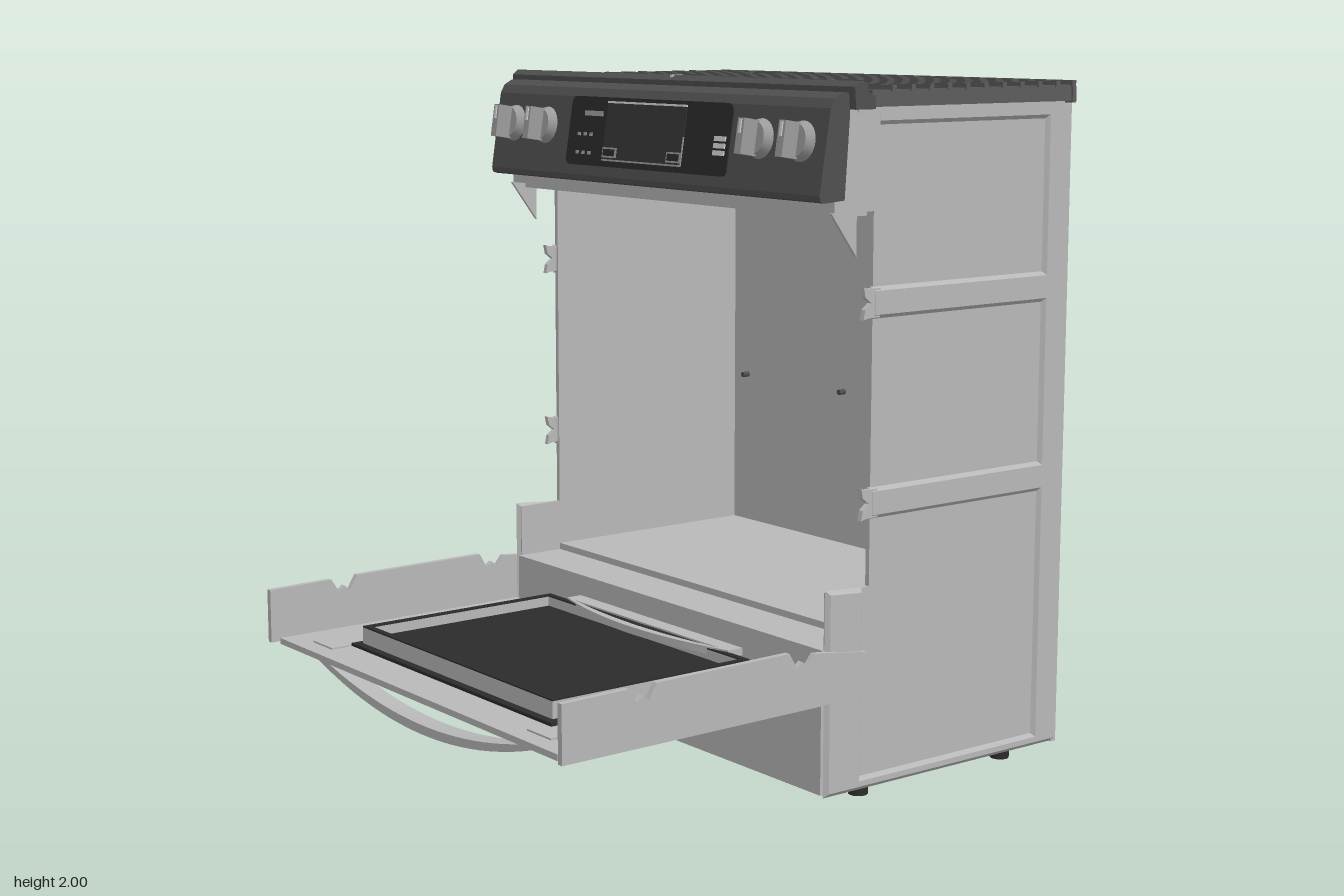
import * as THREE from 'three';

const mat = (name, color) => Object.assign(new THREE.MeshStandardMaterial({ color }), { name });

export function createModel() {
  const root = new THREE.Group();
  root.name = 'range';
  const steel = mat('steel', 0xb8b8b8);
  const charcoal = mat('charcoal', 0x505050);
  const iron = mat('castIron', 0x5c5c5c);
  const black = mat('blackGlass', 0x2b2b2b);
  const knobGrey = mat('knobGrey', 0x9c9c9c);
  const screenGrey = mat('screenGrey', 0x363636);
  const white = mat('lightMarks', 0xd4d4d4);

  const add = (name, geo, m, parent = root) => {
    const mesh = new THREE.Mesh(geo, m);
    mesh.name = name;
    parent.add(mesh);
    return mesh;
  };
  // Box from its lower and upper limits on each axis
  const box = (name, m, x0, x1, y0, y1, z0, z1, parent) => {
    const g = new THREE.BoxGeometry(x1 - x0, y1 - y0, z1 - z0);
    g.translate((x0 + x1) / 2, (y0 + y1) / 2, (z0 + z1) / 2);
    return add(name, g, m, parent);
  };
  // Outline in (z, y), extruded across x, with an optional sloping edge
  const sideExtrude = (name, m, pts, x0, x1, slope = 0, rise = 0) => {
    const shape = new THREE.Shape(pts.map(p => new THREE.Vector2(p[0], p[1])));
    const g = new THREE.ExtrudeGeometry(shape, {
      depth: x1 - x0 - 2 * rise, bevelEnabled: slope > 0, bevelSize: slope,
      bevelThickness: rise, bevelOffset: -slope, bevelSegments: 1
    });
    g.rotateY(-Math.PI / 2);
    g.translate(x1 - rise, 0, 0);
    return add(name, g, m);
  };

  // Cabinet shell, open at the front, with a recessed underside
  box('backPanel', steel, -0.765, 0.765, 0.03, 1.93, -0.85, -0.83);
  box('bottomPanel', steel, -0.745, 0.745, 0.1, 0.112, -0.83, 0.04);
  box('ovenFloor', steel, -0.745, 0.745, 0.455, 0.47, -0.83, -0.1);
  box('ovenSill', steel, -0.745, 0.745, 0.43, 0.45, -0.1, 0.04);
  box('sillRiser', steel, -0.745, 0.745, 0.40, 0.455, -0.12, -0.1);
  box('cooktopDeck', steel, -0.77, 0.77, 1.915, 1.93, -0.83, -0.03);
  box('upperFrontRail', steel, -0.745, 0.745, 1.65, 1.915, -0.1, 0.05);
  box('upperLip', steel, -0.73, 0.73, 1.635, 1.65, -0.1, 0.03);
  box('drawerFront', steel, -0.745, 0.745, 0.035, 0.45, 0.04, 0.06);

  // Pressed side panels: flat sheet, raised border with two ribs, forked rib ends
  const ribs = [[0.8, 0.89], [1.355, 1.445]];
  const border = [[-0.85, 0.03], [0.06, 0.03], [0.06, 0.62], [-0.075, 0.61], [-0.075, 0.07], [-0.75, 0.07],
    ...ribs.flatMap(([lo, hi]) => [[-0.75, lo], [-0.09, lo], [-0.09, hi], [-0.75, hi]]),
    [-0.75, 1.88], [-0.1, 1.88], [-0.1, 1.93], [-0.85, 1.93]];
  for (const s of [-1, 1]) {
    const span = (a, b) => s > 0 ? [a, b] : [-b, -a];
    box('sideSheet', steel, ...span(0.742, 0.757), 0.035, 1.925, -0.84, -0.1);
    box('lowerSideSheet', steel, ...span(0.742, 0.757), 0.035, 0.61, -0.1, 0.05);
    sideExtrude('sideBorder', steel, border, ...span(0.744, 0.768), 0.012, 0.012);
    for (const [lo, hi] of ribs) {
      sideExtrude('ribEnd', steel, [[-0.12, lo + 0.005], [-0.08, lo + 0.005], [-0.06, lo], [-0.066, lo + 0.028],
        [-0.088, (lo + hi) / 2], [-0.066, hi - 0.028], [-0.06, hi], [-0.08, hi - 0.005], [-0.12, hi - 0.005]],
      ...span(0.75, 0.766));
    }
    box('upperCheek', steel, ...span(0.745, 0.767), 1.65, 1.93, -0.11, 0.05);
    sideExtrude('cornerBracket', steel, [[0.06, 1.65], [-0.03, 1.65], [-0.03, 1.53]], ...span(0.757, 0.767));
    for (const z of [-0.11, -0.67]) {
      const foot = add('foot', new THREE.CylinderGeometry(0.028, 0.028, 0.025, 16), black);
      foot.position.set(s * 0.712, 0.0125, z);
      const stem = add('footStem', new THREE.CylinderGeometry(0.014, 0.014, 0.08, 12), black);
      stem.position.set(s * 0.712, 0.063, z);
    }
  }

  // Back: screws, gas inlet plate and nozzle
  for (const [x, y] of [[0.7, 1.8], [0.7, 0.97], [0.7, 0.14], [-0.67, 1.63], [-0.67, 0.97], [-0.67, 0.14],
    [-0.18, 1.8], [-0.18, 0.97], [-0.18, 0.14]]) {
    const screw = add('screw', new THREE.CylinderGeometry(0.009, 0.009, 0.048, 8), charcoal);
    screw.rotation.x = Math.PI / 2;
    screw.position.set(x, y, -0.829);
  }
  box('inletPlate', steel, -0.74, -0.28, 1.76, 1.88, -0.855, -0.85);
  for (const x of [-0.62, -0.38]) box('inletSlot', charcoal, x - 0.012, x + 0.012, 1.81, 1.83, -0.858, -0.854);
  const nozzle = add('gasInlet', new THREE.LatheGeometry([[0, 0], [0.02, 0], [0.02, 0.045], [0.03, 0.05],
    [0.024, 0.1], [0.012, 0.1], [0, 0.09]].map(p => new THREE.Vector2(...p)), 16), knobGrey);
  nozzle.rotation.x = -Math.PI / 2;
  nozzle.position.set(-0.5, 1.815, -0.85);

  // Front trim rail and sloping control panel
  sideExtrude('trimRail', charcoal, [[-0.055, 1.925], [0.015, 1.925], [0.02, 1.985], [0.0, 2],
    [-0.025, 1.995], [-0.03, 1.965], [-0.055, 1.96]], -0.81, 0.81);
  box('trimSplit', white, -0.005, 0.005, 1.985, 2, -0.03, 0.01);
  sideExtrude('controlPanel', charcoal, [[0.03, 1.685], [0.1, 1.68], [0.115, 1.685], [0.118, 1.70], [0.082, 1.93],
    [0.068, 1.955], [0.04, 1.97], [0.015, 1.97], [0.015, 1.9]], -0.785, 0.785);
  const face = new THREE.Group();
  face.name = 'controls';
  face.position.set(0, 1.83, 0.0977);
  face.rotation.x = -0.155;
  root.add(face);
  const w = 0.385, h = 0.102, r = 0.025;
  const plate = new THREE.Shape();
  plate.moveTo(-w + r, -h).lineTo(w - r, -h).quadraticCurveTo(w, -h, w, -h + r)
    .lineTo(w, h - r).quadraticCurveTo(w, h, w - r, h).lineTo(-w + r, h)
    .quadraticCurveTo(-w, h, -w, h - r).lineTo(-w, -h + r).quadraticCurveTo(-w, -h, -w + r, -h);
  add('displayGlass', new THREE.ExtrudeGeometry(plate, { depth: 0.004, bevelEnabled: false }), black, face);
  box('screen', screenGrey, -0.2, 0.18, -0.08, 0.085, 0, 0.006, face);
  box('screenTopEdge', white, -0.2, 0.18, 0.085, 0.091, 0, 0.007, face);
  box('screenBottomEdge', knobGrey, -0.2, 0.18, -0.085, -0.08, 0, 0.007, face);
  box('screenSideEdge', knobGrey, 0.177, 0.181, -0.08, 0, 0, 0.007, face);
  for (const x of [-0.165, 0.145]) {
    box('screenKey', knobGrey, x - 0.035, x + 0.035, -0.075, -0.045, 0, 0.007, face);
    box('screenKeyFace', black, x - 0.03, x + 0.025, -0.07, -0.05, 0, 0.008, face);
  }
  for (let i = 0; i < 3; i++) {
    box('startKey', white, 0.32, 0.37, -0.045 + i * 0.02, -0.031 + i * 0.02, 0, 0.008, face);
    for (let j = 0; j < 2; j++) {
      box('dotKey', knobGrey, -0.335 + i * 0.03, -0.322 + i * 0.03, -0.07 + j * 0.055, -0.06 + j * 0.055, 0, 0.007, face);
    }
  }
  box('modeMark', knobGrey, -0.31, -0.22, 0.045, 0.06, 0, 0.007, face);

  for (const x of [-0.685, -0.512, 0.512, 0.685]) {
    const knob = new THREE.Group();
    knob.name = 'knob';
    knob.position.set(x, 0.01, 0);
    face.add(knob);
    const dial = add('knobDial', new THREE.CylinderGeometry(0.046, 0.057, 0.03, 24), knobGrey, knob);
    dial.rotation.x = Math.PI / 2;
    dial.position.z = 0.012;
    box('knobGrip', knobGrey, -0.014, 0.014, -0.05, 0.048, 0.02, 0.075, knob);
    box('knobPointer', white, -0.005, 0.005, 0.005, 0.045, 0.075, 0.078, knob);
  }

  // Cooktop: cast grate frame, slim bars running the full width, four burners
  box('grateRearRail', iron, -0.8, 0.8, 1.925, 1.972, -0.83, -0.815);
  box('grateFrontRail', iron, -0.795, 0.795, 1.93, 1.965, -0.065, -0.05);
  const bar = (x0, x1, z) => box('grateBar', iron, x0, x1, 1.97, 1.988, z - 0.008, z + 0.008);
  for (const z of [-0.82, -0.755, -0.613, -0.543, -0.473, -0.403, -0.268, -0.2, -0.13]) bar(-0.8, 0.8, z);
  for (const z of [-0.683, -0.335]) {
    bar(-0.8, -0.48, z);
    bar(-0.32, 0.32, z);
    bar(0.48, 0.8, z);
  }
  for (const s of [-1, 1]) {
    for (const [name, x, half, y0, y1] of [['grateOuterRail', 0.78, 0.015, 1.93, 1.975],
      ['grateInnerRail', 0.034, 0.014, 1.93, 1.975], ['grateSpine', 0.4, 0.004, 1.96, 1.982]]) {
      box(name, iron, s * x - half, s * x + half, y0, y1, -0.825, -0.055);
    }
    for (const z of [-0.2, -0.595]) {
      const base = add('burnerBase', new THREE.CylinderGeometry(0.065, 0.088, 0.015, 28), steel);
      base.position.set(s * 0.4, 1.9375, z);
      const cap = new THREE.Shape();
      for (let i = 0; i < 48; i++) {
        const a = i / 48 * Math.PI * 2, q = 0.067 + 0.004 * Math.cos(a * 16);
        cap[i ? 'lineTo' : 'moveTo'](q * Math.cos(a), q * Math.sin(a));
      }
      const g = new THREE.ExtrudeGeometry(cap, { depth: 0.018, bevelEnabled: false });
      g.rotateX(-Math.PI / 2);
      add('burnerCap', g, iron).position.set(s * 0.4, 1.945, z);
    }
  }

  // Lowered oven door: gasket, raised window frame around a sunken pane, side flanges
  box('doorPanel', steel, -0.73, 0.735, 0.3, 0.318, 0.08, 0.935);
  box('windowGasket', black, -0.52, 0.525, 0.318, 0.327, 0.1, 0.81);
  box('innerGlass', black, -0.48, 0.48, 0.327, 0.347, 0.12, 0.775);
  box('outerGlass', black, -0.5, 0.5, 0.298, 0.3, 0.12, 0.74);
  for (const [x0, x1, z0, z1] of [[-0.495, -0.475, 0.11, 0.785], [0.475, 0.495, 0.11, 0.785],
    [-0.475, 0.475, 0.11, 0.13], [-0.475, 0.475, 0.765, 0.785]]) {
    box('windowFrame', steel, x0, x1, 0.327, 0.376, z0, z1);
    box('windowFrameCap', black, x0, x1, 0.376, 0.38, z0, z1);
  }
  const flange = [[-0.08, 0.31], [0.1, 0.303], [0.95, 0.3], [0.95, 0.462], [0.74, 0.465], [0.715, 0.425],
    [0.695, 0.44], [0.675, 0.425], [0.65, 0.467], [0.2, 0.47], [0.175, 0.425], [0.155, 0.44], [0.135, 0.425],
    [0.11, 0.455], [0.06, 0.45], [-0.08, 0.43]];
  for (const s of [-1, 1]) {
    sideExtrude('doorFlange', steel, flange, s * 0.767 - 0.009, s * 0.767 + 0.009);
    box('latchPlate', steel, s * 0.57 - 0.055, s * 0.57 + 0.055, 0.318, 0.323, 0.82, 0.88);
  }

  // Bowed handles, as crescents in a flat outline
  const crescent = (half, outer, inner, depth) => {
    const s = new THREE.Shape();
    s.moveTo(-half, 0).quadraticCurveTo(0, -2 * outer, half, 0);
    s.lineTo(half * 0.92, 0).quadraticCurveTo(0, -2 * inner, -half * 0.92, 0);
    return new THREE.ExtrudeGeometry(s, { depth, bevelEnabled: false, curveSegments: 24 });
  };
  add('doorHandle', crescent(0.63, 0.112, 0.085, 0.06), steel).position.set(0, 0.302, 0.838);
  const pull = crescent(0.4, 0.06, 0.035, 0.022);
  pull.rotateX(-Math.PI / 2);
  add('drawerHandle', pull, steel).position.set(0, 0.363, 0.11);
  box('drawerHandleMount', steel, -0.4, 0.4, 0.363, 0.385, 0.06, 0.112);

  return root;
}
